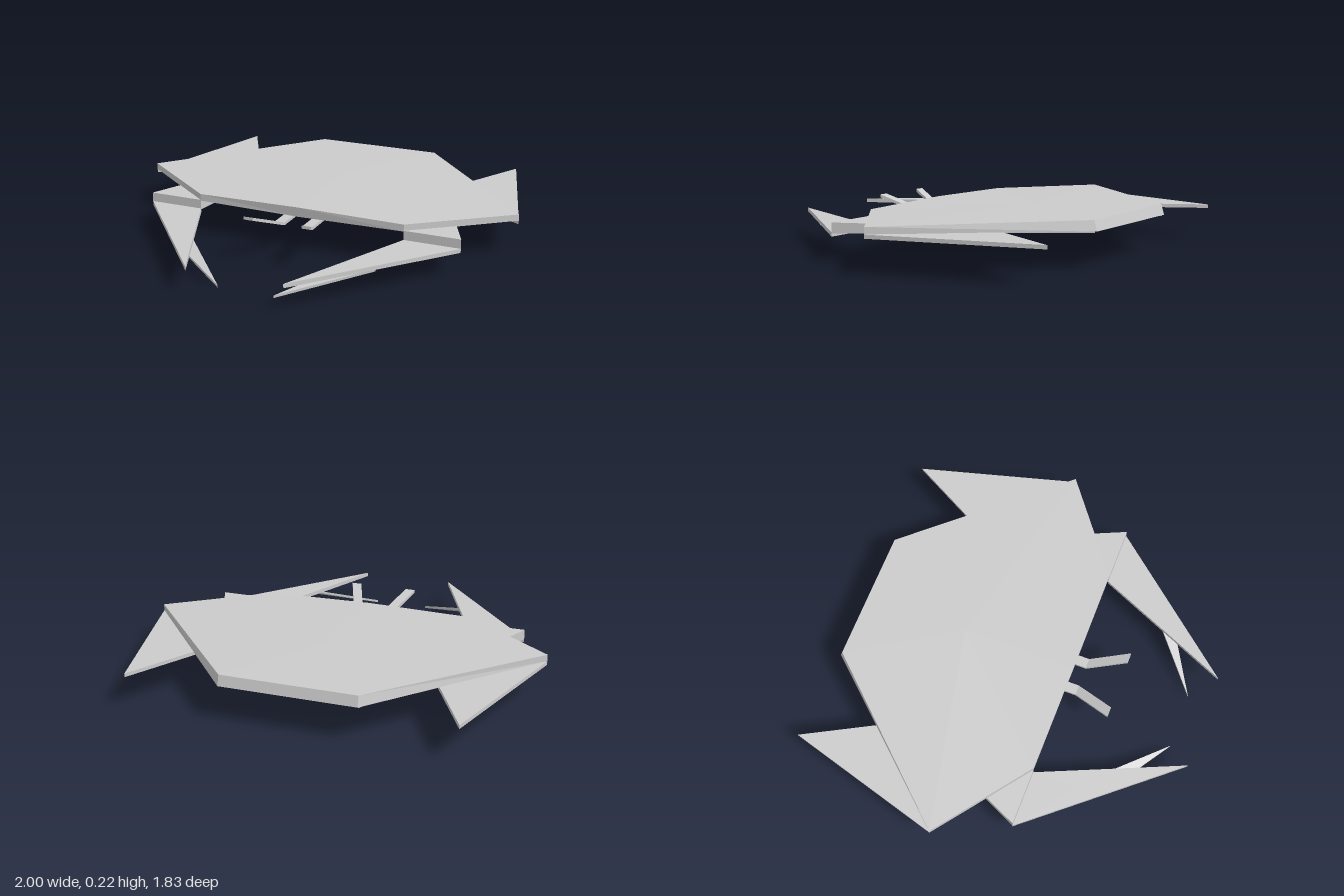
import * as THREE from 'three';

const material = new THREE.MeshStandardMaterial({ color: 0xcccccc, flatShading: true, side: THREE.DoubleSide });

// Solid between two matching outlines, counter-clockwise seen from above.
// Optional centre points raise or lower the caps.
function loft(name, top, bottom, topMid = null, bottomMid = null) {
  const pos = [];
  const tri = (a, b, c) => pos.push(...a, ...b, ...c);
  const mean = (pts) => [0, 1, 2].map((k) => pts.reduce((s, p) => s + p[k], 0) / pts.length);
  const tm = topMid || mean(top);
  const bm = bottomMid || mean(bottom);
  top.forEach((t, i) => {
    const j = (i + 1) % top.length;
    tri(tm, t, top[j]);
    tri(bm, bottom[j], bottom[i]);
    tri(t, bottom[i], bottom[j]);
    tri(t, bottom[j], top[j]);
  });
  const geo = new THREE.BufferGeometry();
  geo.setAttribute('position', new THREE.Float32BufferAttribute(pos, 3));
  geo.computeVertexNormals();
  const mesh = new THREE.Mesh(geo, material);
  mesh.name = name;
  return mesh;
}

// Same outline on the other side, keeping the winding.
const mirror = (pts) => pts.map(([x, y, z]) => [-x, y, z]).reverse();
const lower = (pts, d) => pts.map(([x, y, z]) => [x, y - d, z]);

export function createModel() {
  const model = new THREE.Group();
  model.name = 'crab';

  // Wide shell: crowned on top, slightly keeled below
  const shellTop = [
    [1, 0.207, -0.13], [0.33, 0.22, -0.875], [-0.33, 0.22, -0.875],
    [-1, 0.207, -0.13], [-0.54, 0.207, 0.22], [0, 0.215, 0.225], [0.54, 0.207, 0.22],
  ];
  const shellBottom = [
    [1, 0.175, -0.13], [0.33, 0.17, -0.89], [-0.33, 0.17, -0.89],
    [-1, 0.175, -0.13], [-0.54, 0.172, 0.22], [0, 0.165, 0.22], [0.54, 0.172, 0.22],
  ];
  model.add(loft('shell', shellTop, shellBottom, [0, 0.222, -0.35], [0, 0.138, 0.05]));

  // Paired limbs: [name, top outline, bottom outline]
  const fin = [[1, 0.174, -0.13], [0.785, 0.174, -0.915], [0.52, 0.174, -0.42]];
  const claw = [[0.82, 0.13, 0.22], [0.54, 0.13, 0.22], [0.24, 0.13, 0.91]];
  const pincer = [[0.53, 0.113, 0.56], [0.39, 0.113, 0.57], [0.14, 0.012, 0.8]];
  const limbs = [
    ['rearFin', fin, lower(fin, 0.018)],
    // Wedge-shaped arm running under the shell to its rear corner
    ['arm',
      [[0.82, 0.176, 0.22], [0.33, 0.176, -0.88], [0.54, 0.176, 0.22]],
      [[0.82, 0.125, 0.22], [0.33, 0.163, -0.88], [0.54, 0.125, 0.22]]],
    ['claw', claw, lower(claw, 0.02)],
    ['pincer', pincer, lower(pincer, 0.012)],
  ];

  // Feeler: flat root under the shell, then a raised outward strip
  const feelerRoot = [[0.1, 0.148, 0.275], [0.1, 0.148, 0.05], [0.05, 0.148, 0.05], [0.05, 0.148, 0.275]];
  const feelerTip = [[0.175, 0.225, 0.465], [0.1, 0.148, 0.275], [0.05, 0.148, 0.275], [0.125, 0.225, 0.465]];
  limbs.push(['feelerRoot', feelerRoot, lower(feelerRoot, 0.015)]);
  limbs.push(['feelerTip', feelerTip, lower(feelerTip, 0.015)]);

  for (const [name, top, bottom] of limbs) {
    model.add(loft(name + 'Left', top, bottom));
    model.add(loft(name + 'Right', mirror(top), mirror(bottom)));
  }
  return model;
}
